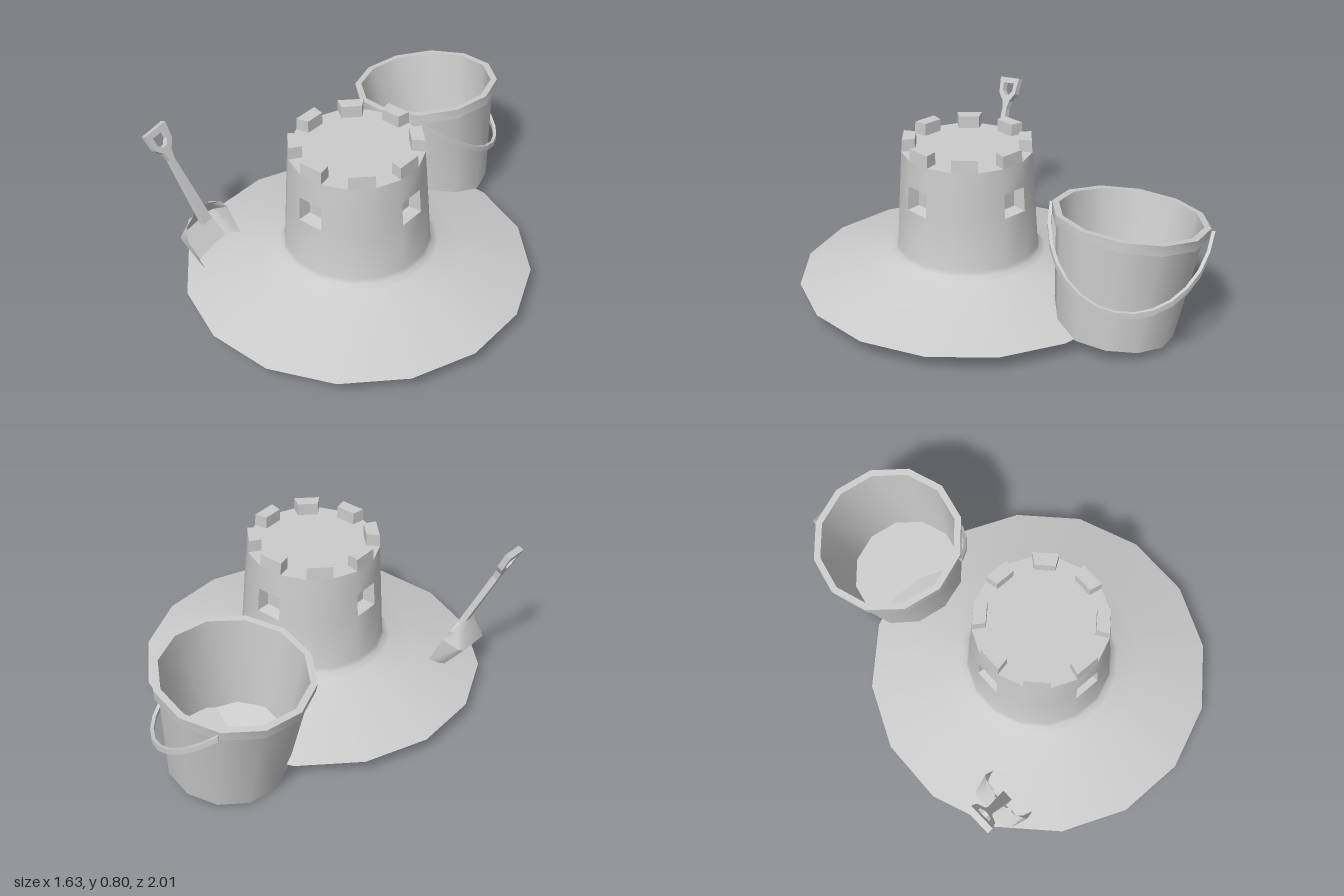
import * as THREE from 'three';
import { toCreasedNormals } from 'three/addons/utils/BufferGeometryUtils.js';

const material = new THREE.MeshStandardMaterial({ color: 0xcccccc, side: THREE.DoubleSide });

function addMesh(parent, name, geometry) {
  const mesh = new THREE.Mesh(geometry, material);
  mesh.name = name;
  parent.add(mesh);
  return mesh;
}

// Collects four-cornered faces into one geometry.
function quadBuilder() {
  const points = [];
  return {
    quad: (a, b, c, d) => points.push(a, b, c, a, c, d),
    build: (crease) => toCreasedNormals(new THREE.BufferGeometry().setFromPoints(points), crease),
  };
}

// Skins a row of cross-sections; closed joins the last corner to the first.
function skin(sections, closed, crease) {
  const q = quadBuilder();
  for (let i = 0; i < sections.length - 1; i++) {
    const a = sections[i], b = sections[i + 1], n = a.length;
    for (let j = 0; j < (closed ? n : n - 1); j++) {
      const k = (j + 1) % n;
      q.quad(a[j], a[k], b[k], b[j]);
    }
  }
  if (closed) {
    const last = sections[sections.length - 1];
    q.quad(...sections[0]);
    q.quad(...[...last].reverse());
  }
  return q.build(crease);
}

function createCastle() {
  const castle = new THREE.Group();
  castle.name = 'sandCastle';
  const sides = 16;
  const at = (r, y, k) => {
    const a = ((k - 0.5) / sides) * Math.PI * 2;
    return new THREE.Vector3(r * Math.sin(a), y, r * Math.cos(a));
  };
  const wallR = (y) => 0.347 - ((y - 0.25) / 0.555) * 0.036;
  const floorY = 0.745, topY = 0.805;

  // Sand skirt and tower wall, leaving out the four window facets
  const profile = [[0.83, 0.085], [0.5, 0.182], [0.385, 0.22], [0.355, 0.235],
    ...[0.26, 0.5, 0.62, floorY].map((y) => [wallR(y), y])];
  const wall = quadBuilder();
  for (let i = 0; i < profile.length - 1; i++) {
    const [r0, y0] = profile[i], [r1, y1] = profile[i + 1];
    for (let k = 0; k < sides; k++) {
      if (y0 === 0.5 && k % 4 === 0) continue;
      wall.quad(at(r0, y0, k), at(r0, y0, k + 1), at(r1, y1, k + 1), at(r1, y1, k));
    }
  }
  addMesh(castle, 'towerAndSandSkirt', wall.build(0.85));

  // Window recesses
  for (let k = 0; k < sides; k += 4) {
    const opening = (r0, y0, r1, y1) => [at(r0, y0, k), at(r0, y0, k + 1), at(r1, y1, k + 1), at(r1, y1, k)];
    const outer = opening(wallR(0.5), 0.5, wallR(0.62), 0.62);
    const inner = opening(0.27, 0.51, 0.27, 0.61);
    const q = quadBuilder();
    for (let j = 0; j < 4; j++) q.quad(outer[j], outer[(j + 1) % 4], inner[(j + 1) % 4], inner[j]);
    q.quad(...inner);
    addMesh(castle, 'windowRecess', q.build(0.5));
  }

  // Battlements on every second facet
  for (let k = 0; k < sides; k += 2) {
    const ring = (y) => [at(wallR(y), y, k), at(wallR(y), y, k + 1), at(0.25, y, k + 1), at(0.25, y, k)];
    const low = ring(floorY), high = ring(topY);
    const q = quadBuilder();
    for (let j = 0; j < 4; j++) q.quad(low[j], low[(j + 1) % 4], high[(j + 1) % 4], high[j]);
    q.quad(...high);
    addMesh(castle, 'battlement', q.build(0.5));
  }

  const roof = new THREE.CircleGeometry(wallR(floorY), sides, Math.PI / sides).rotateX(-Math.PI / 2);
  addMesh(castle, 'towerTop', roof).position.y = floorY;
  castle.position.z = 0.18;
  return castle;
}

function createBucket() {
  const bucket = new THREE.Group();
  bucket.name = 'bucket';

  // Tapered wall with a recessed base and an overhanging rim
  const profile = [[0, 0.05], [0.28, 0.05], [0.28, 0], [0.337, 0.505], [0.358, 0.505],
    [0.362, 0.555], [0.33, 0.555], [0.275, 0.055], [0, 0.055]].map(([r, y]) => new THREE.Vector2(r, y));
  const body = addMesh(bucket, 'bucketBody', toCreasedNormals(new THREE.LatheGeometry(profile, 12), 0.7));
  body.position.set(-0.165, 0.047, -0.632);
  body.rotation.set(-0.03, 0.06, 0.13);

  // Handle band hanging around one side
  const centre = new THREE.Vector3(-0.24, 0.575, -0.645);
  const hinge = new THREE.Vector3(0.19, 0.03, 0.31).normalize();
  const outward = new THREE.Vector3(0.85, 0, -0.52).normalize();
  const sections = [];
  for (let i = 0; i <= 14; i++) {
    const t = (i / 14) * Math.PI;
    const radial = hinge.clone().multiplyScalar(Math.cos(t)).addScaledVector(outward, Math.sin(t));
    const corner = (r, dy) => centre.clone().addScaledVector(radial, r)
      .add(new THREE.Vector3(0, dy - 0.29 * Math.sin(t), 0));
    sections.push([corner(0.362, -0.014), corner(0.378, -0.014), corner(0.378, 0.014), corner(0.362, 0.014)]);
  }
  addMesh(bucket, 'bucketHandle', skin(sections, true, 0.6));
  return bucket;
}

function createSpade() {
  const spade = new THREE.Group();
  spade.name = 'spade';

  // Shaft and D-shaped grip, running down from the origin
  const half = [[0.066, 0], [0.056, -0.085], [0.024, -0.125], [0.014, -0.17], [0.028, -0.53]];
  const outline = [...half, ...half.map(([x, y]) => [-x, y]).reverse()];
  const shape = new THREE.Shape(outline.map(([x, y]) => new THREE.Vector2(x, y)));
  shape.holes.push(new THREE.Path([[-0.036, -0.03], [-0.033, -0.07], [-0.012, -0.095],
    [0.012, -0.095], [0.033, -0.07], [0.036, -0.03]].map(([x, y]) => new THREE.Vector2(x, y))));
  const shaft = new THREE.ExtrudeGeometry(shape, { depth: 0.03, bevelEnabled: false });
  addMesh(spade, 'shaftAndGrip', shaft.translate(0, 0, -0.015));

  // Scoop: y, floor half-width, floor depth, lip half-width, lip depth
  const sections = [
    [-0.465, 0.05, -0.015, 0.07, -0.01],
    [-0.5, 0.085, -0.05, 0.12, 0],
    [-0.55, 0.11, -0.105, 0.14, 0],
    [-0.735, 0.11, -0.055, 0.132, 0],
    [-0.815, 0.105, -0.03, 0.12, -0.005],
  ].map(([y, fx, fz, lx, lz]) => [
    [-lx, lz], [-fx - 0.008, fz + 0.02], [-fx + 0.015, fz],
    [fx - 0.015, fz], [fx + 0.008, fz + 0.02], [lx, lz],
  ].map(([x, z]) => new THREE.Vector3(x, y, z)));
  addMesh(spade, 'scoop', skin(sections, false, 0.6));

  const up = new THREE.Vector3(-0.39, 0.907, 0.144).normalize();
  const side = up.clone().cross(new THREE.Vector3(0.92, 0.39, 0)).normalize();
  const face = side.clone().cross(up);
  spade.quaternion.setFromRotationMatrix(new THREE.Matrix4().makeBasis(side, up, face));
  spade.position.set(-0.79, 0.77, 0.68);
  return spade;
}

export function createModel() {
  const model = new THREE.Group();
  model.name = 'beachScene';
  model.add(createCastle(), createBucket(), createSpade());
  return model;
}
